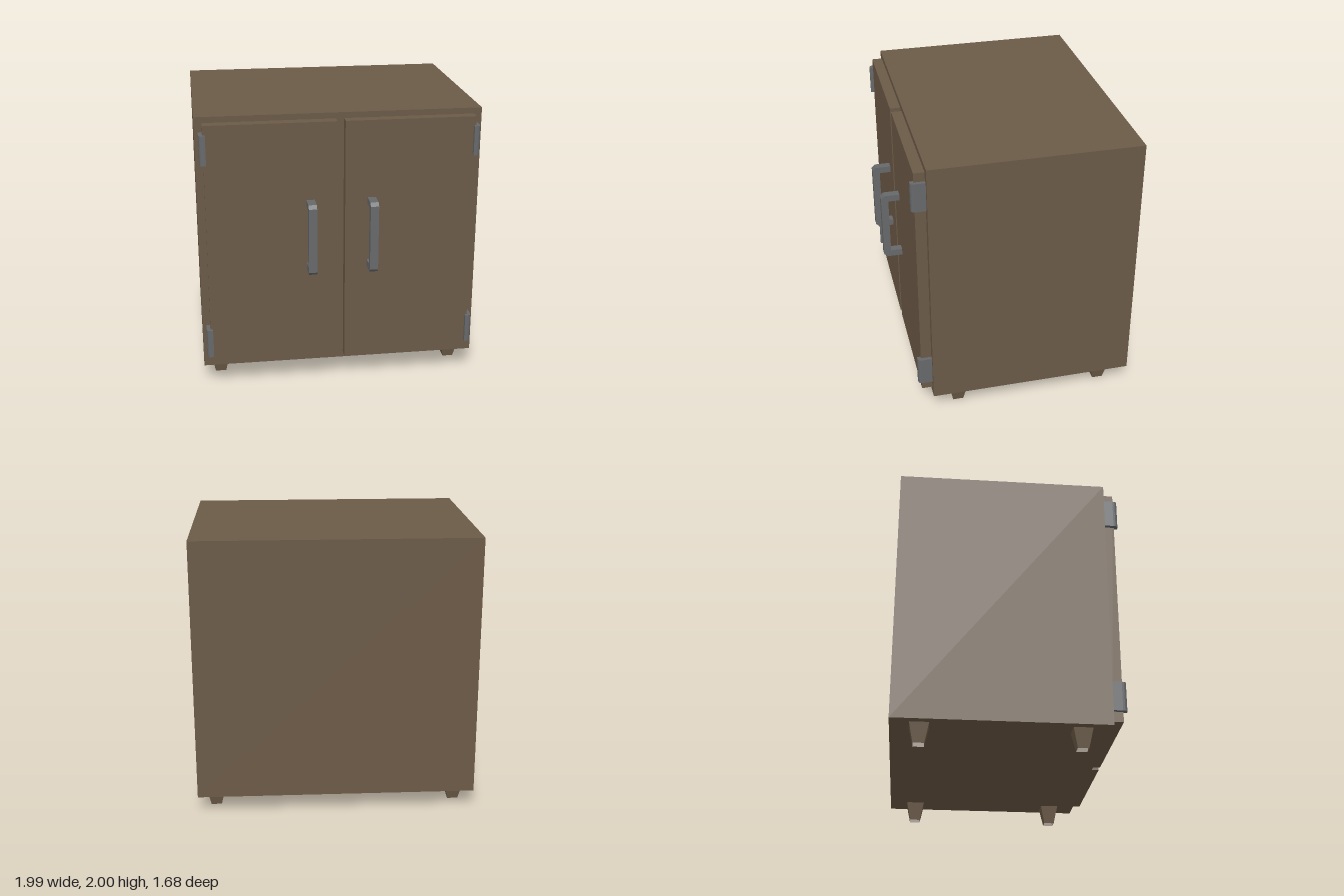
import * as THREE from 'three';

const wood = new THREE.MeshStandardMaterial({ color: 0x6b5a47, side: THREE.DoubleSide });
wood.name = 'brown wood';
const metal = new THREE.MeshStandardMaterial({ color: 0x66686a });
metal.name = 'grey metal';

function add(parent, name, geometry, material) {
  const mesh = new THREE.Mesh(geometry, material);
  mesh.name = name;
  parent.add(mesh);
  return mesh;
}

// Box given by its lower and upper corners
function box(parent, name, [x0, y0, z0], [x1, y1, z1]) {
  const mesh = add(parent, name, new THREE.BoxGeometry(x1 - x0, y1 - y0, z1 - z0), wood);
  mesh.position.set((x0 + x1) / 2, (y0 + y1) / 2, (z0 + z1) / 2);
}

// Bracket handle: a U outline (z, y) with chamfered outer corners
function handleGeometry(width) {
  const outline = [
    [0.705, 0.89], [0.815, 0.89], [0.839, 0.914], [0.839, 1.381], [0.815, 1.405], [0.705, 1.405],
    [0.705, 1.358], [0.787, 1.358], [0.787, 0.938], [0.705, 0.938],
  ].map(([z, y]) => new THREE.Vector2(z, y));
  const geometry = new THREE.ExtrudeGeometry(new THREE.Shape(outline), { depth: width, bevelEnabled: false });
  return geometry.translate(0, 0, -width / 2).rotateY(-Math.PI / 2);
}

// Hinge: an L outline (x, z) with a rounded outer corner, wrapped round the door edge
function hingeGeometry(side, height) {
  const shape = new THREE.Shape();
  shape.moveTo(side * 0.94, 0.63);
  shape.lineTo(side * 0.966, 0.63);
  shape.lineTo(side * 0.966, 0.698);
  shape.quadraticCurveTo(side * 0.966, 0.731, side * 0.94, 0.731);
  shape.lineTo(side * 0.921, 0.731);
  shape.lineTo(side * 0.921, 0.705);
  shape.lineTo(side * 0.94, 0.705);
  const geometry = new THREE.ExtrudeGeometry(shape, { depth: height, bevelEnabled: false, curveSegments: 4 });
  return geometry.translate(0, 0, -height / 2).rotateX(Math.PI / 2);
}

export function createModel() {
  const cabinet = new THREE.Group();
  cabinet.name = 'cabinet';

  box(cabinet, 'body', [-0.993, 0.135, -0.838], [0.993, 2, 0.63]);

  for (const side of [-1, 1]) {
    const label = side > 0 ? 'left' : 'right';

    // Door with its handle and hinges
    const xs = [side * 0.028, side * 0.938].sort((a, b) => a - b);
    box(cabinet, label + 'Door', [xs[0], 0.18, 0.63], [xs[1], 1.958, 0.705]);
    add(cabinet, label + 'Handle', handleGeometry(0.058), metal).position.x = side * 0.214;
    for (const [level, y] of [['Upper', 1.79], ['Lower', 0.355]]) {
      add(cabinet, label + level + 'Hinge', hingeGeometry(side, 0.208), metal).position.y = y;
    }

    // Tapered hollow feet
    for (const [end, z] of [['Front', 0.435], ['Back', -0.642]]) {
      const geometry = new THREE.CylinderGeometry(0.066 * Math.SQRT2, 0.038 * Math.SQRT2, 0.135, 4, 1, true)
        .rotateY(Math.PI / 4).toNonIndexed();
      geometry.computeVertexNormals();
      add(cabinet, label + end + 'Foot', geometry, wood).position.set(side * 0.87, 0.0675, z);
    }
  }
  return cabinet;
}
